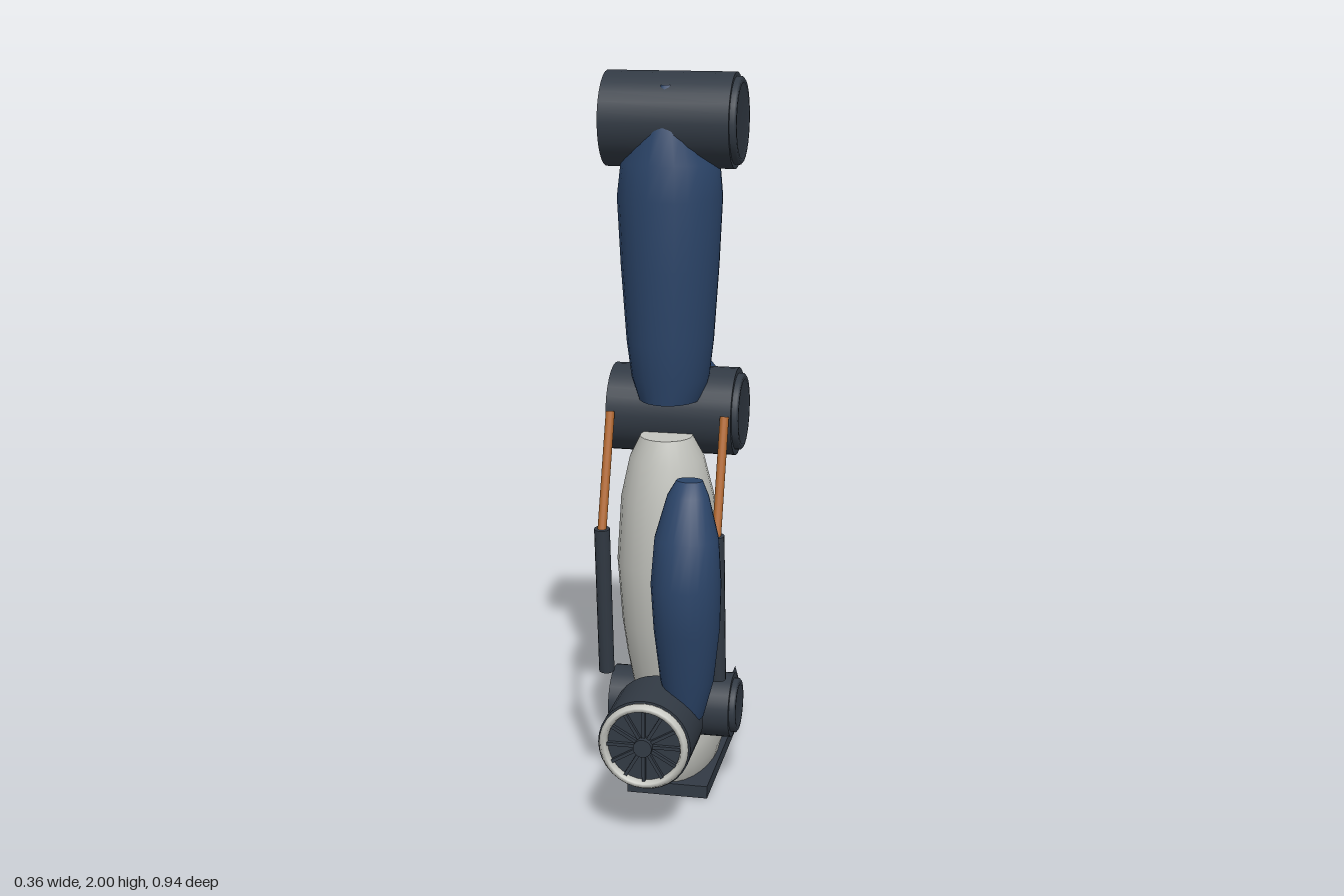
import * as THREE from 'three';

const mat = (color, extra = {}) => new THREE.MeshStandardMaterial({ color, ...extra });
const BLUE = mat(0x2b4468), DARK = mat(0x323a44), LIGHT = mat(0xc4c5bf), ORANGE = mat(0xb0672f);

export function createModel() {
  const model = new THREE.Group();
  model.name = 'mechanicalLeg';
  const rig = new THREE.Group();
  rig.name = 'leg';
  rig.position.x = -0.004;
  model.add(rig);

  const add = (name, geometry, material, x = 0, y = 0, z = 0, parent = rig) => {
    const mesh = new THREE.Mesh(geometry, material);
    mesh.name = name;
    mesh.position.set(x, y, z);
    parent.add(mesh);
    return mesh;
  };

  // Smooth body through elliptical rings [y, x, z, radiusX, radiusZ], bottom to top
  const loft = (rings, sides = 24) => {
    const pos = [], index = [];
    const ring = ([y, cx, cz, rx, rz]) => {
      for (let i = 0; i <= sides; i++) {
        const a = (i / sides) * Math.PI * 2;
        pos.push(cx + rx * Math.sin(a), y, cz + rz * Math.cos(a));
      }
    };
    rings.forEach(ring);
    const row = sides + 1;
    for (let r = 0; r < rings.length - 1; r++) {
      for (let i = 0; i < sides; i++) {
        const a = r * row + i, d = a + row;
        index.push(a, a + 1, d + 1, a, d + 1, d);
      }
    }
    // Flat end caps with their own vertices
    for (const [end, up] of [[rings[0], false], [rings[rings.length - 1], true]]) {
      const c = pos.length / 3;
      pos.push(end[1], end[0], end[2]);
      ring(end);
      for (let i = 1; i <= sides; i++) {
        if (up) index.push(c, c + i, c + i + 1);
        else index.push(c, c + i + 1, c + i);
      }
    }
    const g = new THREE.BufferGeometry();
    g.setAttribute('position', new THREE.Float32BufferAttribute(pos, 3));
    g.setIndex(index);
    g.computeVertexNormals();
    // Match normals across the seam
    const n = g.attributes.normal;
    for (let r = 0; r < rings.length; r++) {
      const a = r * row, b = a + sides;
      const v = new THREE.Vector3().fromBufferAttribute(n, a)
        .add(new THREE.Vector3().fromBufferAttribute(n, b)).normalize();
      n.setXYZ(a, v.x, v.y, v.z);
      n.setXYZ(b, v.x, v.y, v.z);
    }
    return g;
  };

  // Round bar between two points
  const bar = (name, from, to, radius, material) => {
    const a = new THREE.Vector3(...from), b = new THREE.Vector3(...to);
    const mesh = add(name, new THREE.CylinderGeometry(radius, radius, a.distanceTo(b), 14), material);
    mesh.position.copy(a).lerp(b, 0.5);
    mesh.quaternion.setFromUnitVectors(new THREE.Vector3(0, 1, 0), b.sub(a).normalize());
  };

  // Joint drums with a stepped cover on the left end
  const joint = (name, y, z, r, coverR) => {
    const g = new THREE.Group();
    g.name = name;
    g.position.set(0, y, z);
    rig.add(g);
    add(name + 'Drum', new THREE.CylinderGeometry(r, r, 0.34, 28), DARK, 0, 0, 0, g).rotation.z = -Math.PI / 2;
    const cover = [[coverR, 0], [coverR, 0.012], [coverR - 0.006, 0.017], [coverR - 0.016, 0.017],
      [coverR - 0.02, 0.012], [0, 0.012]].map(p => new THREE.Vector2(...p));
    add(name + 'Cover', new THREE.LatheGeometry(cover, 28), DARK, 0.17, 0, 0, g).rotation.z = -Math.PI / 2;
  };
  joint('hip', 1.876, 0.073, 0.124, 0.113);
  joint('knee', 1.09, 0.017, 0.119, 0.104);
  joint('ankle', 0.247, 0.052, 0.09, 0.076);

  // Thigh
  add('thigh', loft([
    [1.14, 0, 0.088, 0.085, 0.108], [1.2, 0, 0.092, 0.104, 0.113], [1.3, 0, 0.095, 0.116, 0.124],
    [1.5, 0, 0.096, 0.13, 0.13], [1.68, 0, 0.097, 0.139, 0.132], [1.77, 0, 0.09, 0.13, 0.125],
    [1.86, 0, 0.085, 0.09, 0.113], [1.97, 0, 0.08, 0.035, 0.08],
  ]), BLUE);
  add('thighBackPlate', loft([
    [1.25, -0.04, -0.07, 0.035, 0.012], [1.33, -0.04, -0.073, 0.055, 0.02], [1.55, -0.04, -0.075, 0.072, 0.027],
    [1.7, -0.04, -0.075, 0.075, 0.027], [1.83, -0.04, -0.073, 0.064, 0.025], [1.9, -0.04, -0.062, 0.038, 0.012],
  ]), LIGHT);
  add('thighRail', new THREE.BoxGeometry(0.025, 0.22, 0.02), DARK, 0.03, 1.66, -0.037);
  for (const y of [1.58, 1.66, 1.74]) {
    add('railClip', new THREE.BoxGeometry(0.035, 0.03, 0.035), DARK, 0.02, y, -0.048);
  }

  // Knee guard
  add('kneeGuard', loft([
    [0.97, 0, -0.088, 0.06, 0.028], [1.06, 0, -0.11, 0.133, 0.066],
    [1.15, 0, -0.094, 0.118, 0.05], [1.23, 0, -0.072, 0.06, 0.028],
  ], 14), BLUE);

  // Shin and front guard
  add('shin', loft([
    [0.23, 0, 0.095, 0.075, 0.075], [0.33, 0, 0.097, 0.102, 0.104], [0.42, 0, 0.098, 0.118, 0.13],
    [0.52, 0, 0.104, 0.13, 0.15], [0.7, 0, 0.118, 0.139, 0.163], [0.88, 0, 0.133, 0.125, 0.133],
    [0.99, 0, 0.142, 0.1, 0.1], [1.05, 0, 0.15, 0.07, 0.07],
  ]), LIGHT);
  add('shinGuard', loft([
    [0.31, 0.083, 0.285, 0.045, 0.055], [0.42, 0.086, 0.298, 0.072, 0.073], [0.57, 0.088, 0.313, 0.088, 0.088],
    [0.7, 0.088, 0.325, 0.093, 0.094], [0.82, 0.087, 0.312, 0.085, 0.072], [0.93, 0.087, 0.293, 0.055, 0.044],
    [0.965, 0.087, 0.272, 0.035, 0.026],
  ]), BLUE);

  // Rear fittings on the shin
  add('ventBox', new THREE.BoxGeometry(0.1, 0.12, 0.06), DARK, 0, 0.85, -0.026);
  for (const y of [0.82, 0.85, 0.88]) {
    add('ventFin', new THREE.BoxGeometry(0.116, 0.014, 0.03), DARK, 0, y, -0.018);
  }
  const hatch = new THREE.Shape([[-0.042, -0.095], [0.042, -0.095], [0.056, 0.095], [-0.056, 0.095]]
    .map(p => new THREE.Vector2(...p)));
  add('rearHatch', new THREE.ExtrudeGeometry(hatch, { depth: 0.025, bevelEnabled: false }), ORANGE, 0, 0.565, -0.056);
  add('hatchPin', new THREE.SphereGeometry(0.01, 10, 8), DARK, 0, 0.44, -0.041);

  // Pistons on both sides
  for (const x of [-0.155, 0.155]) {
    bar('pistonRod', [x, 1.105, 0.142], [x, 0.8, 0.252], 0.012, ORANGE);
    bar('pistonSleeve', [x, 0.81, 0.25], [x, 0.39, 0.212], 0.021, DARK);
  }

  // Round fan housing ahead of the ankle
  const fan = new THREE.Group();
  fan.name = 'fan';
  fan.position.set(0, 0.285, 0);
  rig.add(fan);
  add('fanHousing', new THREE.CylinderGeometry(0.124, 0.124, 0.177, 32), DARK, 0, 0, 0.357, fan).rotation.x = Math.PI / 2;
  const rim = [[0.098, 0], [0.118, 0], [0.12, 0.008], [0.112, 0.022], [0.102, 0.022], [0.098, 0.008], [0.098, 0]]
    .map(p => new THREE.Vector2(...p));
  add('fanRim', new THREE.LatheGeometry(rim, 32), mat(0xc4c5bf, { side: THREE.DoubleSide }), 0, 0, 0.445, fan).rotation.x = Math.PI / 2;
  add('fanHub', new THREE.CylinderGeometry(0.025, 0.025, 0.025, 16), DARK, 0, 0, 0.457, fan).rotation.x = Math.PI / 2;
  for (let i = 0; i < 6; i++) {
    add('fanSpoke', new THREE.BoxGeometry(0.198, 0.009, 0.012), DARK, 0, 0, 0.45, fan).rotation.z = (i * Math.PI) / 6;
  }

  // Foot
  add('foot', loft([
    [0.035, 0, -0.095, 0.1, 0.235], [0.08, 0, -0.083, 0.113, 0.25], [0.14, 0, -0.045, 0.112, 0.22],
    [0.2, 0, -0.012, 0.095, 0.168], [0.24, 0, 0.025, 0.07, 0.112], [0.253, 0, 0.03, 0.05, 0.08],
  ], 28), LIGHT);
  add('sole', new THREE.BoxGeometry(0.228, 0.036, 0.5), DARK, 0, 0.018, -0.1);

  // Ridged toes
  const toe = new THREE.Shape([[-0.027, 0], [0.027, 0], [0, 0.098]].map(p => new THREE.Vector2(...p)));
  for (const x of [-0.087, 0.087]) {
    add('toe', new THREE.ExtrudeGeometry(toe, { depth: 0.127, bevelEnabled: false }), DARK, x, 0.048, -0.472);
  }
  return model;
}
